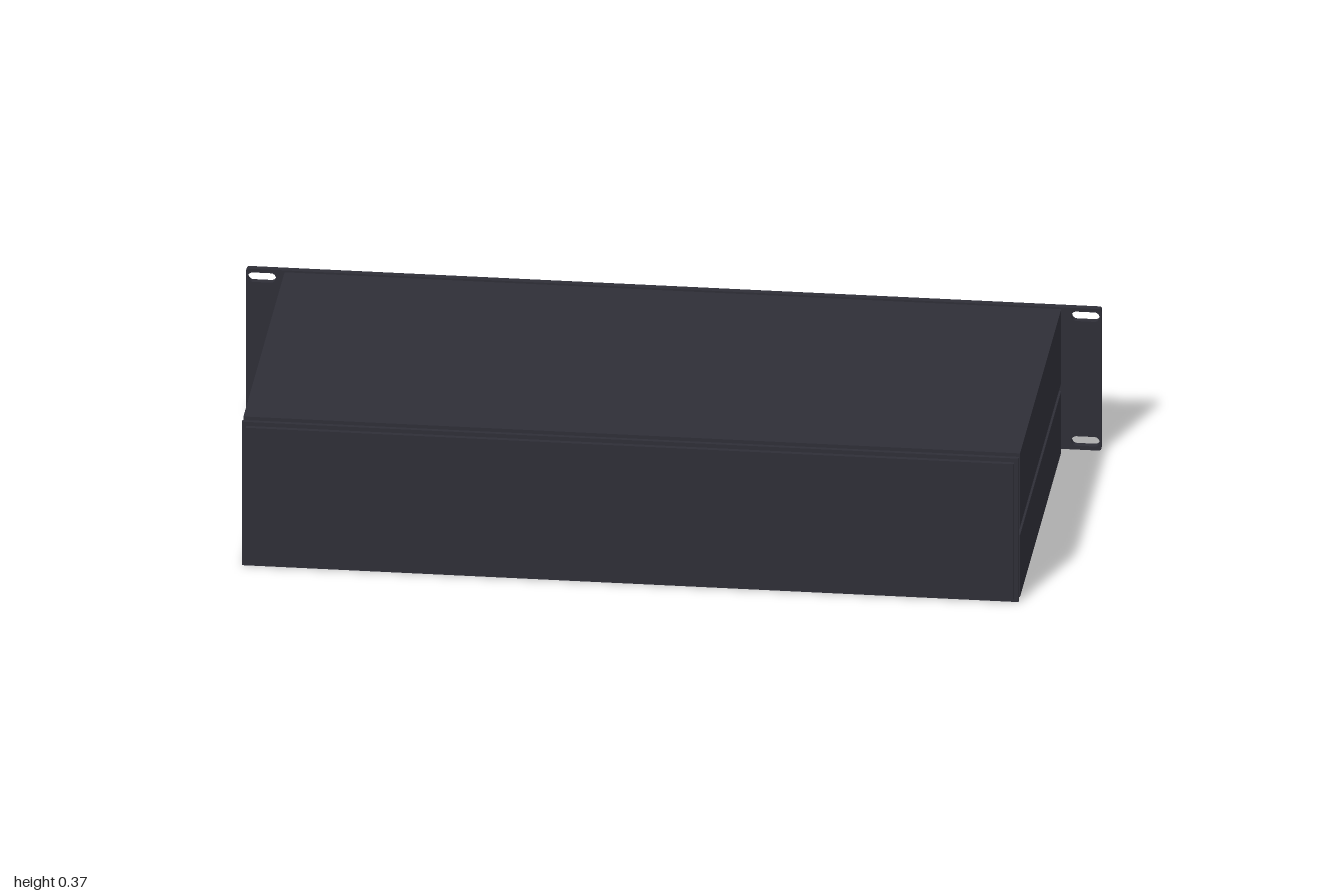
import * as THREE from 'three';

export function createModel() {
  const model = new THREE.Group();
  model.name = 'rackEnclosure';
  const metal = new THREE.MeshStandardMaterial({ color: 0x2e2e37 });
  metal.name = 'dark charcoal metal';

  // Box given by its minimum and maximum corners
  function box(name, x0, x1, y0, y1, z0, z1, parent = model) {
    const mesh = new THREE.Mesh(new THREE.BoxGeometry(x1 - x0, y1 - y0, z1 - z0), metal);
    mesh.position.set((x0 + x1) / 2, (y0 + y1) / 2, (z0 + z1) / 2);
    mesh.name = name;
    parent.add(mesh);
  }

  // U-shaped sheet: one horizontal plate with two side walls
  function channel(name, halfWidth, y0, y1, z0, z1, plateOnTop) {
    const group = new THREE.Group();
    group.name = name;
    const t = 0.01;
    const [p0, p1] = plateOnTop ? [y1 - t, y1] : [y0, y0 + t];
    const [w0, w1] = plateOnTop ? [y0, p0] : [p1, y1];
    box('plate', -halfWidth, halfWidth, p0, p1, z0, z1, group);
    box('leftWall', halfWidth - t, halfWidth, w0, w1, z0, z1, group);
    box('rightWall', -halfWidth, -halfWidth + t, w0, w1, z0, z1, group);
    model.add(group);
  }

  // Outer covers and the inner sheets that stick out at both ends
  channel('topCover', 0.908, 0.177, 0.365, -0.418, 0.408, true);
  channel('bottomCover', 0.908, 0, 0.157, -0.418, 0.408, false);
  channel('upperInnerShell', 0.898, 0.177, 0.355, -0.433, 0.428, true);
  channel('lowerInnerShell', 0.898, 0.011, 0.157, -0.433, 0.428, false);

  // Recessed rails in the seam between the covers
  for (const s of [-1, 1]) {
    const a = s * 0.89, b = s * 0.902;
    box('sideRail', Math.min(a, b), Math.max(a, b), 0.157, 0.177, -0.418, 0.408);
  }

  // Closing panel at the front: lip, flange and raised face
  box('frontLip', -0.898, 0.898, 0.012, 0.355, 0.418, 0.428);
  box('frontFlange', -0.908, 0.908, 0, 0.365, 0.428, 0.438);
  box('frontPanel', -0.898, 0.898, 0.011, 0.355, 0.438, 0.449);

  // Wide mounting plate with a rounded slot in each corner
  const w = 1, y0 = 0.003, y1 = 0.363, r = 0.006;
  const plate = new THREE.Shape();
  plate.moveTo(-w + r, y0);
  plate.lineTo(w - r, y0);
  plate.absarc(w - r, y0 + r, r, -Math.PI / 2, 0);
  plate.absarc(w - r, y1 - r, r, 0, Math.PI / 2);
  plate.absarc(-w + r, y1 - r, r, Math.PI / 2, Math.PI);
  plate.absarc(-w + r, y0 + r, r, Math.PI, Math.PI * 1.5);
  for (const x of [-0.963, 0.963]) {
    for (const y of [0.025, 0.342]) {
      const slot = new THREE.Path();
      slot.absarc(x + 0.021, y, 0.012, -Math.PI / 2, Math.PI / 2);
      slot.absarc(x - 0.021, y, 0.012, Math.PI / 2, Math.PI * 1.5);
      slot.closePath();
      plate.holes.push(slot);
    }
  }
  const mount = new THREE.Mesh(
    new THREE.ExtrudeGeometry(plate, { depth: 0.016, bevelEnabled: false, curveSegments: 8 }), metal);
  mount.position.z = -0.449;
  mount.name = 'mountingPlate';
  model.add(mount);

  return model;
}
